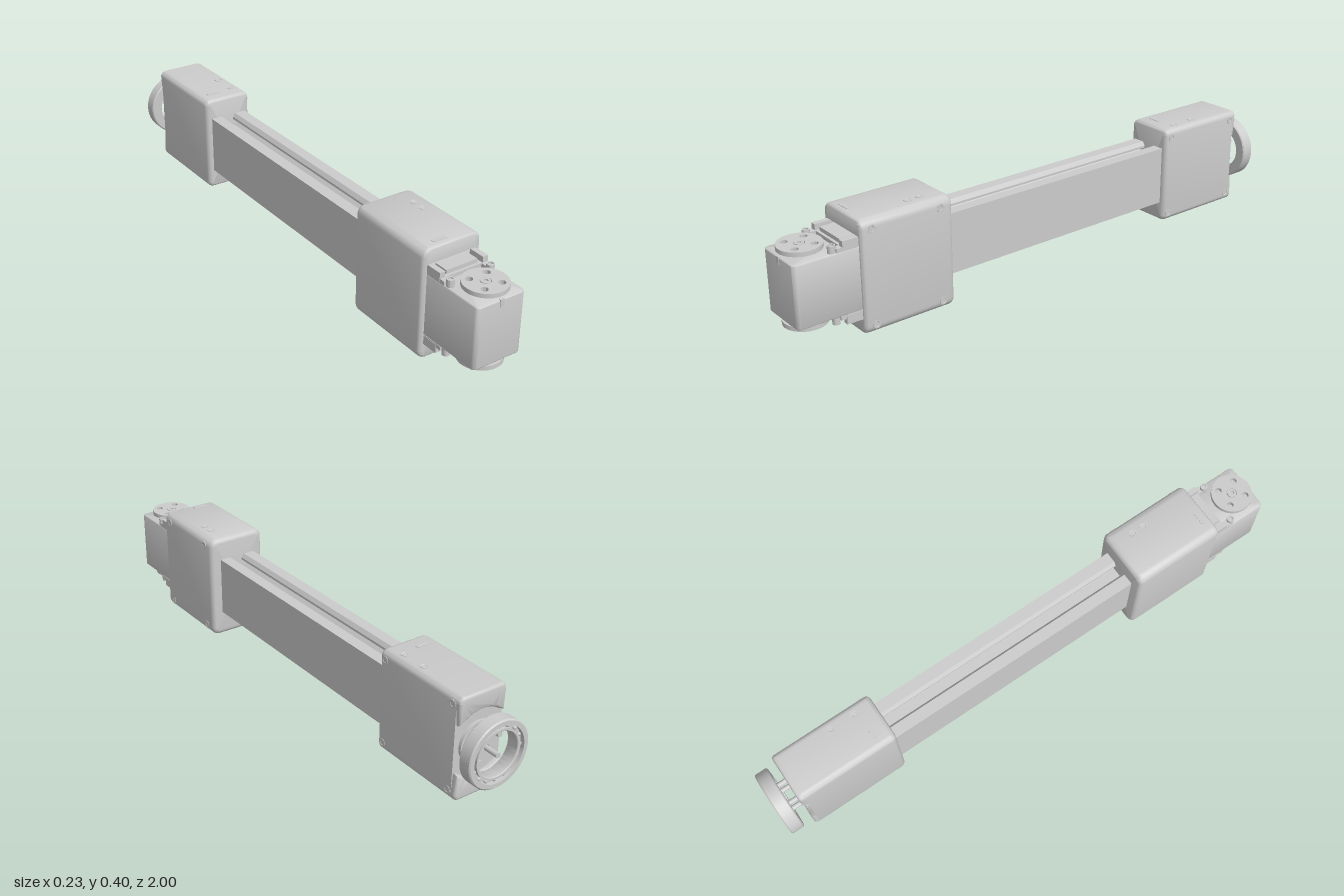
import * as THREE from 'three';
import { toCreasedNormals } from 'three/addons/utils/BufferGeometryUtils.js';
import { RoundedBoxGeometry } from 'three/addons/geometries/RoundedBoxGeometry.js';

const grey = new THREE.MeshStandardMaterial({ color: 0xcccccc });
const MID = 0.2; // height of the arm's axis

function add(parent, name, geo, x = 0, y = 0, z = 0) {
  const m = new THREE.Mesh(geo, grey);
  m.name = name;
  m.position.set(x, y, z);
  parent.add(m);
  return m;
}

const lathe = (pts, seg = 32) =>
  toCreasedNormals(new THREE.LatheGeometry(pts.map(p => new THREE.Vector2(...p)), seg), 0.6);

// Skin a series of rounded rectangles [z, halfWidth, halfHeight, cornerRadius]
function loft(sections) {
  const pos = [], idx = [], n = 24;
  for (const [z, w, h, r] of sections) {
    for (let c = 0; c < 4; c++) {
      const sx = c === 0 || c === 3 ? 1 : -1, sy = c < 2 ? 1 : -1;
      for (let k = 0; k < 6; k++) {
        const a = (c + k / 5) * Math.PI / 2;
        pos.push(sx * (w - r) + r * Math.cos(a), sy * (h - r) + r * Math.sin(a), z);
      }
    }
  }
  for (let i = 0; i < sections.length - 1; i++) {
    for (let j = 0; j < n; j++) {
      const a = i * n + j, b = i * n + (j + 1) % n;
      idx.push(a, b, b + n, a, b + n, a + n);
    }
  }
  const g = new THREE.BufferGeometry();
  g.setAttribute('position', new THREE.Float32BufferAttribute(pos, 3));
  g.setIndex(idx);
  return toCreasedNormals(g, 0.6);
}

// Quarter-round edge sections; dir -1 opens a back end, +1 closes a front end
function edge(z, w, h, r, R, dir) {
  const out = [];
  for (let k = 0; k <= 4; k++) {
    const a = k / 4 * Math.PI / 2, d = R * (1 - Math.cos(a));
    out.push([z - dir * R * (1 - Math.sin(a)), w - d, h - d, r - d]);
  }
  return dir < 0 ? out.reverse() : out;
}

// Aluminium rail with a T-slot along the top and bottom
function railGeometry() {
  const half = [[0.071, 0.108], [0.03, 0.108], [0.02, 0.094], [0.02, 0.086],
    [0.046, 0.086], [0.046, 0.076], [0.028, 0.058]];
  const top = [...half, ...half.map(([x, y]) => [-x, y]).reverse()];
  const pts = [...top, ...top.map(([x, y]) => [-x, -y])];
  return new THREE.ExtrudeGeometry(new THREE.Shape(pts.map(p => new THREE.Vector2(...p))),
    { depth: 0.99, bevelEnabled: false });
}

// Round plate with bolt holes, lying flat with its underside on y = 0
function hornGeometry(r, thick, holeRing, holeR, centreR) {
  const s = new THREE.Shape().absarc(0, 0, r, 0, Math.PI * 2);
  const hole = (x, y, q) => s.holes.push(new THREE.Path().absarc(x, y, q, 0, Math.PI * 2, true));
  hole(0, 0, centreR);
  for (let i = 0; i < 4; i++) {
    const a = (i + 0.5) * Math.PI / 2;
    hole(holeRing * Math.cos(a), holeRing * Math.sin(a), holeR);
  }
  const g = new THREE.ExtrudeGeometry(s, { depth: thick, bevelEnabled: false, curveSegments: 20 });
  return toCreasedNormals(g.rotateX(-Math.PI / 2), 0.6);
}

const screwGeo = lathe([[0.014, -0.004], [0.014, 0.0015], [0.009, 0.0015], [0.008, 0.0003], [0, 0.0003]], 20);

// Lid screws on the +x side, ports on the top and bottom
function addFittings(parent, x, y0, y1, screwZ, screwInset, portZ, slotZ) {
  for (const z of screwZ) for (const y of [y0 + screwInset, y1 - screwInset])
    add(parent, 'lidScrew', screwGeo, x, y, z).rotation.z = -Math.PI / 2;
  for (const z of portZ) {
    add(parent, 'topPort', screwGeo, 0.054, y1, z);
    add(parent, 'bottomPort', screwGeo, 0.054, y0, z).rotation.x = Math.PI;
  }
  add(parent, 'switchSlot', new THREE.BoxGeometry(0.05, 0.004, 0.015), -0.03, y1 - 0.0005, slotZ);
}

export function createModel() {
  const model = new THREE.Group();
  model.name = 'armLink';

  add(model, 'rail', railGeometry(), 0, 0.203, -0.555);

  // Front housing: rounded shell with a deep rectangular mouth
  const front = new THREE.Group();
  front.name = 'frontHousing';
  model.add(front);
  add(front, 'frontShell', loft([
    [0.43, 0, 0, 0],
    ...edge(0.43, 0.111, 0.1965, 0.03, 0.02, -1),
    ...edge(0.775, 0.111, 0.1965, 0.03, 0.014, 1),
    [0.775, 0.096, 0.144, 0.006],
    [0.6, 0.096, 0.144, 0.006],
    [0.6, 0, 0, 0],
  ]), 0, 0.1975, 0);
  addFittings(front, 0.111, 0.001, 0.394, [0.735, 0.48], 0.032, [0.52, 0.565], 0.745);

  // Front servo
  const servo = new THREE.Group();
  servo.name = 'frontServo';
  model.add(servo);
  add(servo, 'servoBody', loft([
    [-0.109, 0, 0, 0],
    ...edge(-0.109, 0.092, 0.2, 0.014, 0.005, -1),
    ...edge(0.109, 0.092, 0.2, 0.014, 0.005, 1),
    [0.109, 0, 0, 0],
  ]).rotateX(-Math.PI / 2), 0, MID - 0.002, 0.8);
  add(servo, 'frontKey', new THREE.BoxGeometry(0.015, 0.024, 0.01), 0, 0.296, 0.997);

  // Horn and bracket, repeated above and below the servo
  for (const side of [1, -1]) {
    const g = new THREE.Group();
    g.name = side > 0 ? 'topHorn' : 'bottomHorn';
    g.position.y = MID - 0.002;
    if (side < 0) g.rotation.z = Math.PI;
    servo.add(g);
    add(g, 'hornHub', new THREE.CylinderGeometry(0.034, 0.034, 0.014, 32), 0, 0.114, 0.925);
    add(g, 'hornDisc', hornGeometry(0.073, 0.015, 0.048, 0.012, 0.018), 0, 0.119, 0.925);
    add(g, 'hornScrew', lathe([[0.016, 0], [0.016, 0.016], [0.008, 0.016], [0.008, 0.011], [0, 0.011]], 24), 0, 0.119, 0.925);
    add(g, 'bracketPlate', new THREE.BoxGeometry(0.15, 0.014, 0.16), 0, 0.115, 0.75);
    add(g, 'bracketRidge', new THREE.BoxGeometry(0.12, 0.016, 0.05), 0, 0.128, 0.795);
    for (const s of [-1, 1]) {
      add(g, 'bracketArm', new THREE.BoxGeometry(0.024, 0.014, 0.26), s * 0.08, 0.115, 0.72);
      add(g, 'bracketBlock', new THREE.BoxGeometry(0.02, 0.03, 0.06), s * 0.083, 0.127, 0.8);
      add(g, 'bracketBoss', lathe([[0.013, 0], [0.013, 0.025], [0.008, 0.025], [0.008, 0.02], [0, 0.02]], 20), s * 0.077, 0.109, 0.86);
    }
  }

  // Rear housing: rounded box whose back face has a shallow round recess
  const rear = new THREE.Group();
  rear.name = 'rearHousing';
  model.add(rear);
  add(rear, 'rearShell', loft([
    [-0.902, 0, 0, 0],
    [-0.902, 0.092, 0.181, 0.022],
    ...edge(-0.545, 0.092, 0.181, 0.022, 0.018, 1),
    [-0.545, 0, 0, 0],
  ]), 0, 0.203, 0);
  const b = 0.012, w = 0.092 - b, h = 0.181 - b, q = 0.01, R = 0.115 + b, a0 = Math.acos(w / R);
  const lip = new THREE.Shape();
  lip.moveTo(w, R * Math.sin(a0));
  lip.lineTo(w, h - q);
  lip.absarc(w - q, h - q, q, 0, Math.PI / 2);
  lip.absarc(-w + q, h - q, q, Math.PI / 2, Math.PI);
  lip.lineTo(-w, R * Math.sin(a0));
  lip.absarc(0, 0, R, Math.PI - a0, a0, true);
  const lipGeo = toCreasedNormals(new THREE.ExtrudeGeometry(lip,
    { depth: 0.004, bevelSize: b, bevelThickness: b, bevelSegments: 4, curveSegments: 12 }), 0.6);
  for (const s of [0, 1])
    add(rear, s ? 'lowerBackLip' : 'upperBackLip', lipGeo, 0, 0.203, -0.907).rotation.z = s * Math.PI;
  addFittings(rear, 0.092, 0.022, 0.384, [-0.572, -0.885], 0.031, [-0.71, -0.62], -0.605);

  // Rear output: horn, pins and bearing ring
  const output = new THREE.Group();
  output.name = 'rearOutput';
  output.position.y = 0.203;
  model.add(output);
  add(output, 'rearHorn', hornGeometry(0.073, 0.012, 0.045, 0.01, 0.018), 0, 0, -0.9).rotation.x = -Math.PI / 2;
  for (const x of [-0.036, 0.036]) for (const y of [-0.037, 0.037])
    add(output, 'pin', new THREE.CylinderGeometry(0.009, 0.009, 0.06, 16), x, y, -0.93).rotation.x = Math.PI / 2;
  add(output, 'bearingRing', lathe([[0.113, -1], [0.117, -0.996], [0.117, -0.956], [0.113, -0.952],
    [0.078, -0.952], [0.076, -0.955], [0.076, -0.994], [0.078, -0.996], [0.086, -0.996],
    [0.086, -0.984], [0.098, -0.984], [0.098, -1], [0.113, -1]], 64).rotateX(Math.PI / 2));
  const ball = new THREE.SphereGeometry(0.0065, 12, 8);
  for (let i = 0; i < 16; i++) {
    const a = i / 16 * Math.PI * 2;
    add(output, 'bearingBall', ball, 0.092 * Math.cos(a), 0.092 * Math.sin(a), -0.986);
  }
  return model;
}
